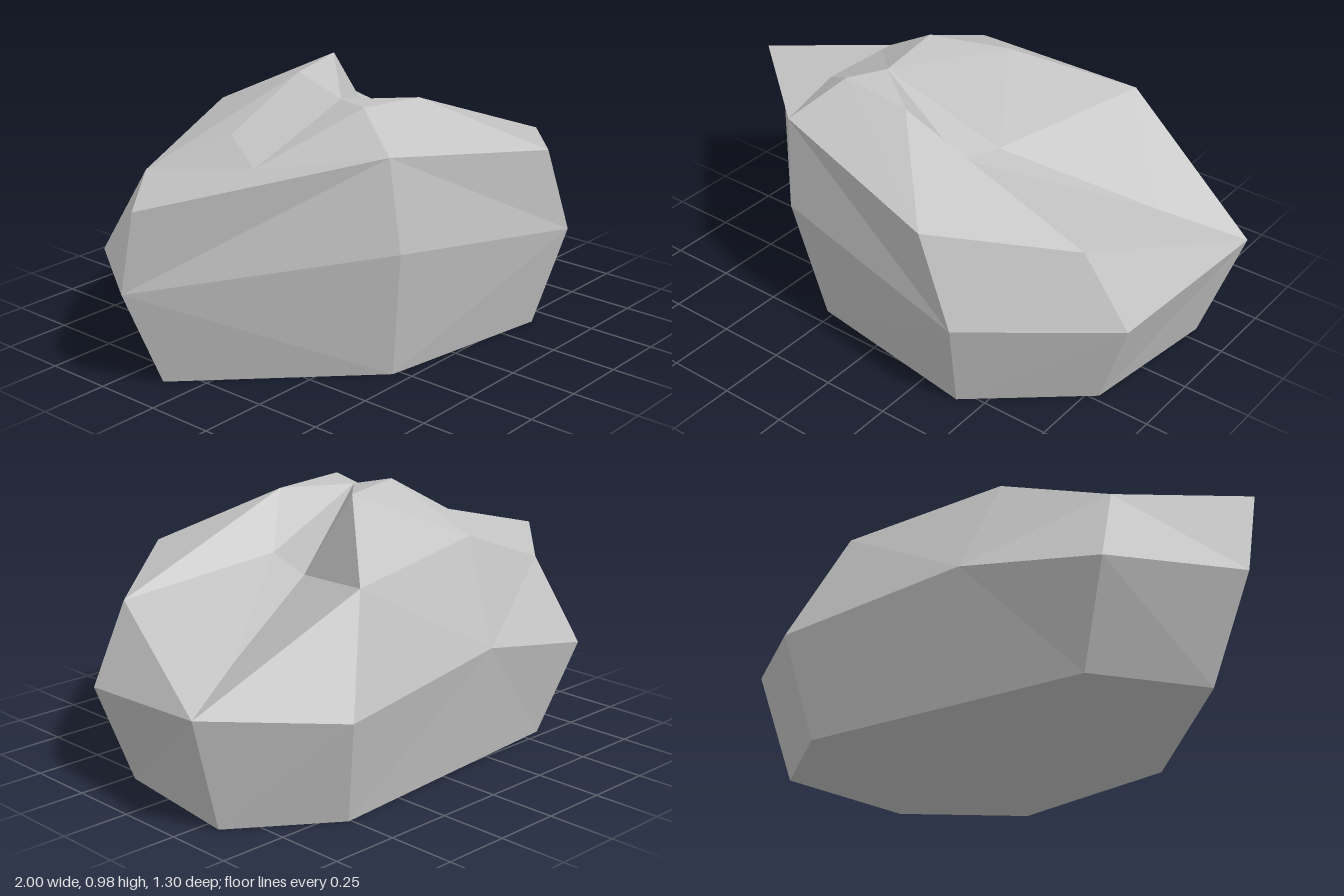
import * as THREE from 'three';

// Cross-sections of the boulder, each running from the front round by +x to the back.
const base = [[0.41, 0, 0.545], [0.79, 0, 0.225], [0.86, 0, -0.31], [0.51, 0, -0.56],
  [-0.03, 0, -0.515], [-0.58, 0, -0.47], [-0.84, 0, -0.12], [-0.28, 0, 0.44]];
const belly = [[0.463, 0.38, 0.65], [0.915, 0.36, 0.27], [1, 0.427, -0.36], [0.58, 0.385, -0.653],
  [-0.16, 0.455, -0.59], [-0.71, 0.345, -0.547], [-1, 0.37, -0.13], [-0.35, 0.485, 0.525]];
const shoulder = [[0.33, 0.71, 0.64], [0.75, 0.63, 0.303], [0.71, 0.512, -0.22], [0.415, 0.77, -0.515],
  [-0.21, 0.82, -0.43], [-0.64, 0.66, -0.385], [-1, 0.675, -0.06], [-0.37, 0.82, 0.49]];
const crown = [[0.01, 0.91, 0.31], [0.15, 0.71, 0.195], [0.18, 0.67, 0], [0.1, 0.975, -0.16],
  [-0.19, 0.975, -0.07], [-0.47, 0.8, -0.13], [-0.56, 0.735, 0.06], [-0.27, 0.93, 0.295]];
const peak = [-0.21, 0.92, 0.143];

export function createModel() {
  const positions = [];
  const triangle = (a, b, c) => positions.push(...a, ...b, ...c);

  // Joins two rings; each letter gives the way a facet pair is split:
  // U rises from the lower ring to the upper one, D falls.
  const band = (low, high, splits) => {
    low.forEach((a, i) => {
      const j = (i + 1) % low.length;
      const b = low[j], c = high[j], d = high[i];
      if (splits[i] === 'U') {
        triangle(a, b, c);
        triangle(a, c, d);
      } else {
        triangle(a, b, d);
        triangle(b, c, d);
      }
    });
  };

  band(base, belly, 'UUUUDDDU');
  band(belly, shoulder, 'UDUDUDUD');
  band(shoulder, crown, 'DDDDDUDD');

  // Faceted top and flat underside
  crown.forEach((p, i) => triangle(p, crown[(i + 1) % crown.length], peak));
  const centre = [0, 0, 0];
  base.forEach((p, i) => triangle(base[(i + 1) % base.length], p, centre));

  const geometry = new THREE.BufferGeometry();
  geometry.setAttribute('position', new THREE.Float32BufferAttribute(positions, 3));
  geometry.computeVertexNormals();

  const stone = new THREE.MeshStandardMaterial({ color: 0xc4c4c4, flatShading: true });
  stone.name = 'stone grey';

  const boulder = new THREE.Mesh(geometry, stone);
  boulder.name = 'boulder';

  const group = new THREE.Group();
  group.name = 'rock';
  group.add(boulder);
  return group;
}
